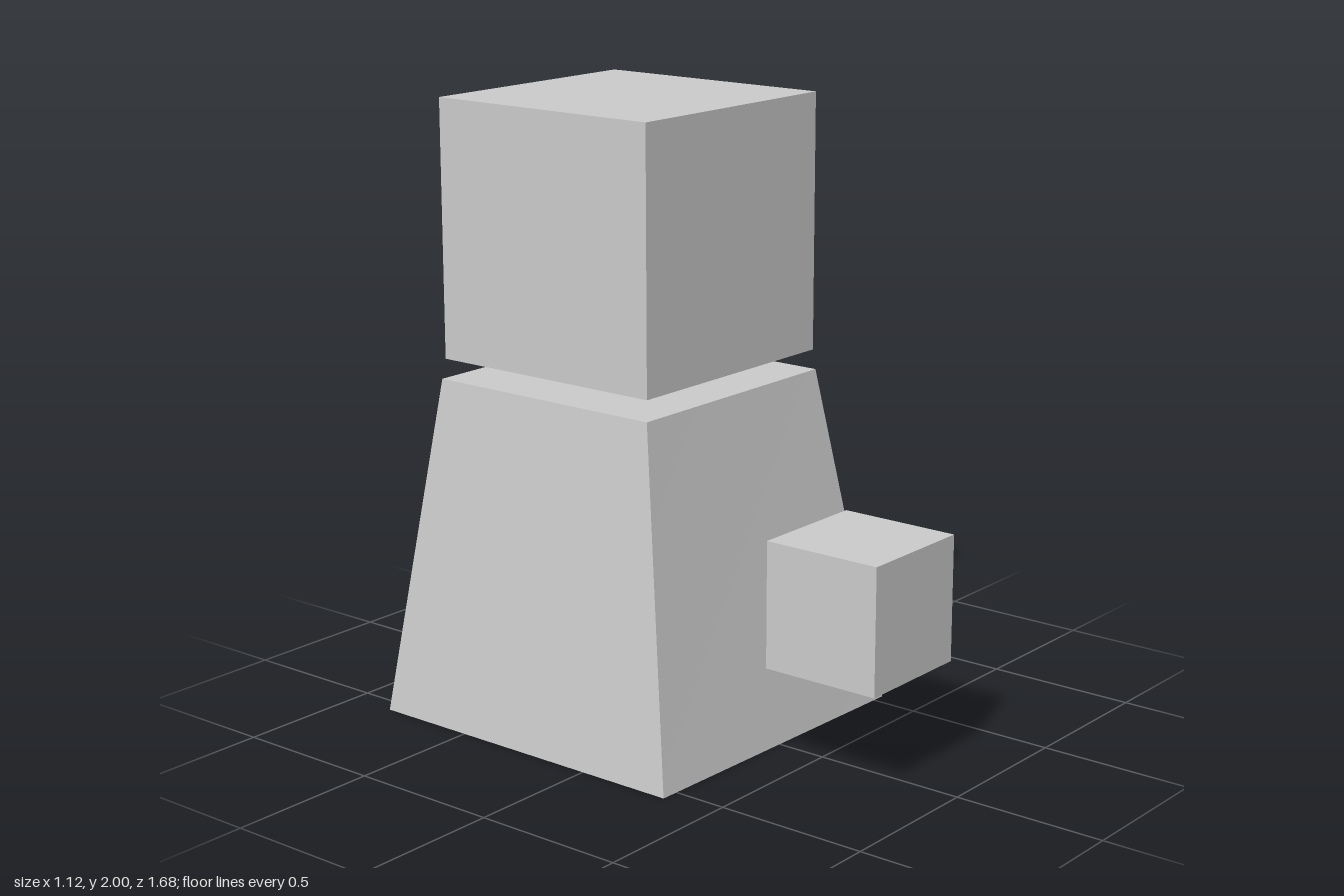
import * as THREE from 'three';

export function createModel() {
  const group = new THREE.Group();
  const lightGrey = new THREE.MeshStandardMaterial({ color: 0xcccccc });

  function addPart(name, geometry, x, y, z) {
    const mesh = new THREE.Mesh(geometry, lightGrey);
    mesh.name = name;
    mesh.position.set(x, y, z);
    group.add(mesh);
  }

  // Tapered body: a box whose bottom corners are spread slightly unevenly
  const body = new THREE.BoxGeometry(0.84, 1.11, 0.84).translate(-0.01, 0.555, -0.265);
  const baseCorners = {
    backLeft: [0.555, -0.84],
    backRight: [-0.56, -0.835],
    frontLeft: [0.545, 0.345],
    frontRight: [-0.56, 0.322],
  };
  const p = body.attributes.position;
  for (let i = 0; i < p.count; i++) {
    if (p.getY(i) > 0.5) continue;
    const key = (p.getZ(i) > -0.265 ? 'front' : 'back') + (p.getX(i) > -0.01 ? 'Left' : 'Right');
    const [x, z] = baseCorners[key];
    p.setXYZ(i, x, 0, z);
  }
  body.computeVertexNormals();
  addPart('body', body, 0, 0, 0);

  // Head floating above the body
  addPart('head', new THREE.BoxGeometry(0.825, 0.825, 0.825), -0.01, 1.5875, -0.263);

  // Small block floating in front of the body
  addPart('frontBlock', new THREE.BoxGeometry(0.405, 0.405, 0.4), -0.011, 0.543, 0.64);

  return group;
}
